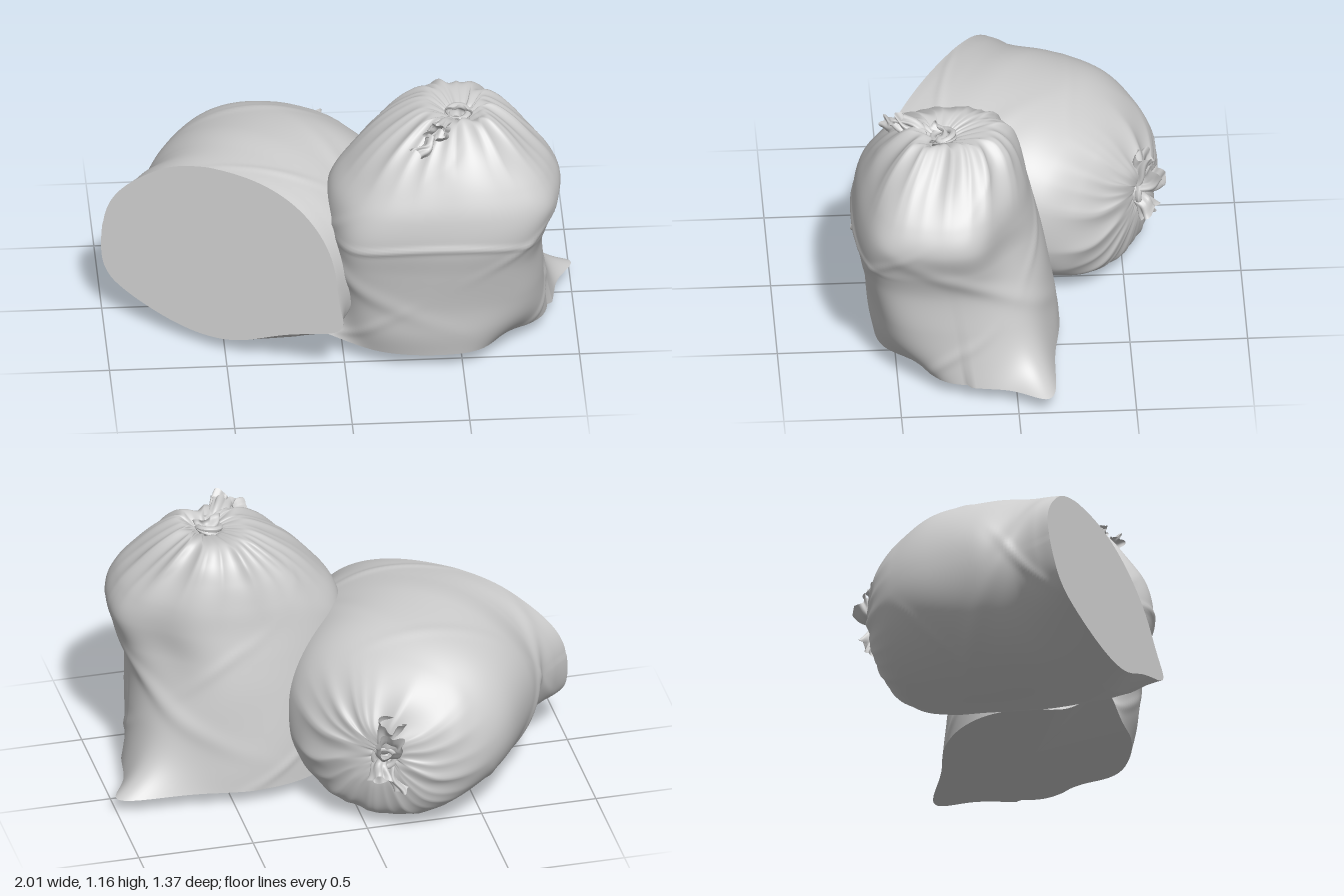
import * as THREE from 'three';

const material = new THREE.MeshStandardMaterial({ color: 0xcccccc, side: THREE.DoubleSide });
const SEG = 180, ROWS = 120;
const { sin, cos, abs, sign, PI, exp, max } = Math;
const ridge = (a) => 1 - 2 * abs(sin(a));
const bump = (x, width) => exp(-((x / width) ** 2));

function mesh(geometry, name) {
  geometry.computeVertexNormals();
  const m = new THREE.Mesh(geometry, material);
  m.name = name;
  return m;
}

// Cloth creases: pleats that gather toward the neck, plus slanted wrinkles on the body
function crease(t, a, w, seed) {
  const gather = THREE.MathUtils.smoothstep(t, 0.45, 0.88);
  const pleats = 0.6 * ridge(5.5 * a + 0.7 * sin(2 * a + seed)) +
    0.4 * ridge(9 * a + sin(3 * a) + seed);
  const slant = bump(sin(a + 4.2 * w + seed), 0.2) * (0.5 + 0.5 * sin(2 * a + seed)) +
    0.6 * bump(sin(1.5 * a - 5 * w + 2 * seed), 0.12) * (0.5 + 0.5 * cos(3 * a + 4 * w));
  const soft = sin(3 * a + 7 * w + seed) + 0.7 * sin(5 * a - 11 * w + 2 * seed);
  return 1 + gather * (0.035 + 0.14 * gather) * pleats +
    (1 - gather) * (0.024 * slant + 0.007 * soft);
}

// Loft a bag through sections [w, uMin, uMax, vMin, vMax]; adjust(p, a, t) shapes details
function bag(sections, seed, roundness, adjust) {
  const curve = (f) => new THREE.CatmullRomCurve3(sections.map(f), false, 'catmullrom', 0.5);
  const mid = curve(([w, a, b, c, d]) => new THREE.Vector3((a + b) / 2, (c + d) / 2, w));
  const rad = curve(([, a, b, c, d]) => new THREE.Vector3((b - a) / 2, (d - c) / 2, 0));
  const pos = [], index = [], base = [0, 0, 0], baseIndex = [];
  const p = new THREE.Vector3();
  for (let j = 0; j <= ROWS; j++) {
    const t = j / ROWS, m = mid.getPoint(t), r = rad.getPoint(t);
    for (let i = 0; i < SEG; i++) {
      const a = (i / SEG) * PI * 2, k = crease(t, a, m.z, seed);
      p.set(
        m.x + r.x * k * sign(cos(a)) * abs(cos(a)) ** roundness,
        m.y + r.y * k * sign(sin(a)) * abs(sin(a)) ** roundness,
        m.z);
      adjust(p, a, t);
      pos.push(p.x, p.y, p.z);
      if (j === 0) {
        base.push(p.x, p.y, p.z);
        for (let n = 0; n < 3; n++) base[n] += p.getComponent(n) / SEG;
        baseIndex.push(0, 1 + (i + 1) % SEG, 1 + i);
      }
      if (j < ROWS) {
        const q = j * SEG + i, s = j * SEG + (i + 1) % SEG;
        index.push(q, s, q + SEG, s, s + SEG, q + SEG);
      }
    }
  }
  const build = (array, idx) => {
    const g = new THREE.BufferGeometry();
    g.setAttribute('position', new THREE.Float32BufferAttribute(array, 3));
    g.setIndex(idx);
    return g;
  };
  const group = new THREE.Group();
  group.add(mesh(build(pos, index), 'bagSkin'), mesh(build(base, baseIndex), 'bagBase'));
  return group;
}

// Crumpled open tail of cloth, growing from one point to another
function tail(from, to, r0, r1, seed) {
  const a = new THREE.Vector3(...from), dir = new THREE.Vector3(...to).sub(a);
  const g = new THREE.CylinderGeometry(1, 1, 1, 60, 10, true);
  const p = g.attributes.position;
  for (let i = 0; i < p.count; i++) {
    const t = p.getY(i) + 0.5, ang = Math.atan2(p.getZ(i), p.getX(i));
    const r = (r0 + (r1 - r0) * t ** 1.3) * (1 + 0.2 * t * sin(5 * ang + seed) + 0.12 * sin(3 * ang + 5 * t));
    p.setXYZ(i, r * cos(ang), dir.length() * t * (1 + 0.08 * sin(3 * ang + seed)), 0.7 * r * sin(ang) + 0.012 * sin(6 * t + seed));
  }
  const m = mesh(g, 'clothTail');
  m.position.copy(a);
  m.quaternion.setFromUnitVectors(new THREE.Vector3(0, 1, 0), dir.normalize());
  return m;
}

// Wound tie around the gathered neck
function tie(center, axis, r) {
  const pts = [];
  for (let i = 0; i < 20; i++) {
    const a = (i / 20) * PI * 4;
    pts.push(new THREE.Vector3(r * cos(a), r * sin(a), 0.012 * sin(a / 2)));
  }
  const m = mesh(new THREE.TubeGeometry(new THREE.CatmullRomCurve3(pts, true), 80, 0.014, 8, true), 'neckTie');
  m.position.set(...center);
  m.quaternion.setFromUnitVectors(new THREE.Vector3(0, 0, 1), new THREE.Vector3(...axis).normalize());
  return m;
}

function uprightBag() {
  const group = new THREE.Group();
  group.name = 'uprightBag';
  // u = +x, v = -z, w = +y
  const body = bag([
    [0.075, -0.03, 0.88, -0.59, 0.2],
    [0.18, -0.035, 0.87, -0.61, 0.19],
    [0.32, -0.04, 0.86, -0.62, 0.17],
    [0.5, -0.05, 0.855, -0.65, 0.14],
    [0.64, -0.065, 0.895, -0.675, 0.11],
    [0.77, -0.045, 0.935, -0.66, 0.08],
    [0.88, 0.03, 0.89, -0.62, 0.06],
    [0.99, 0.13, 0.79, -0.56, 0.03],
    [1.075, 0.24, 0.7, -0.49, -0.01],
    [1.125, 0.34, 0.62, -0.42, -0.08],
    [1.11, 0.42, 0.57, -0.36, -0.2],
    [1.08, 0.46, 0.53, -0.33, -0.26],
  ], 0.6, 0.9, (p, a) => {
    // Pinched base corners
    const low = max(0, p.z - 0.075);
    const right = bump(a - 0.75, 0.28) * exp(-low / 0.09);
    const left = bump(a - PI - 0.45, 0.25) * exp(-low / 0.06);
    const spread = bump(a - 0.5, 0.5) * exp(-low / 0.2);
    p.x += 0.18 * right - 0.14 * left + 0.055 * spread;
    p.y += 0.06 * right;
    p.z += 0.05 * left;
    // Fuller front corners, a flatter back right shoulder and a fold across the front
    const shoulder = bump(p.z - 0.72, 0.2);
    const backRight = 0.04 * bump(a - 0.75, 0.4) * shoulder;
    const frontLeft = 0.035 * bump(a - 1.25 * PI, 0.4) * bump(p.z - 0.5, 0.4);
    const frontRight = bump(a - 1.75 * PI, 0.4) * (0.03 - 0.09 * exp(-low / 0.13));
    p.x += frontRight - frontLeft - backRight;
    p.y -= frontRight + frontLeft + backRight;
    p.y -= 0.01 * bump(p.z - 0.63 - 0.02 * sin(3 * a), 0.014) * max(0, -sin(a + 0.3));
  });
  body.rotation.x = -PI / 2;
  group.add(
    body,
    tie([0.495, 1.095, 0.295], [-0.2, 1, 0.2], 0.045),
    tail([0.49, 1.07, 0.31], [0.39, 1.12, 0.47], 0.03, 0.045, 1),
    tail([0.49, 1.07, 0.3], [0.5, 1.13, 0.33], 0.035, 0.055, 2.5),
    tail([0.46, 1.07, 0.36], [0.39, 1.12, 0.49], 0.03, 0.045, 4),
    tail([0.38, 1.08, 0.46], [0.31, 1.03, 0.52], 0.03, 0.045, 5),
  );
  return group;
}

function lyingBag() {
  const group = new THREE.Group();
  group.name = 'lyingBag';
  // u = across, v = up, w = from base to neck
  const body = bag([
    [0, -0.535, 0.596, 0.06, 0.81],
    [0.08, -0.535, 0.57, 0.04, 0.82],
    [0.2, -0.54, 0.545, 0.015, 0.83],
    [0.38, -0.52, 0.575, 0.0, 0.84],
    [0.62, -0.46, 0.57, 0.01, 0.82],
    [0.78, -0.4, 0.52, 0.02, 0.75],
    [0.89, -0.3, 0.44, 0.04, 0.67],
    [0.96, -0.19, 0.34, 0.1, 0.59],
    [1.0, -0.07, 0.24, 0.23, 0.52],
    [1.0, 0.05, 0.18, 0.33, 0.45],
    [0.97, 0.09, 0.15, 0.36, 0.42],
  ], 2.1, 0.96, (p, a, t) => {
    // Pinched inner base corner, with the base edge rising straight toward it
    const corner = max(0, 1 - t * 5);
    p.x -= 0.11 * bump(a - PI - 0.55, 0.35) * corner;
    p.y += 0.05 * bump(a - PI - 0.95, 0.4) * max(0, 1 - t * 8);
    // Outer base rim: sloped at the top, fuller at the bottom
    p.x += (0.05 * bump(a - 2 * PI + 0.65, 0.35) - 0.035 * bump(a - 0.75, 0.4)) * corner;
    // Base leans back toward its top
    p.z += (0.19 * (p.y - 0.36)) * max(0, 1 - t * 3);
  });
  const across = new THREE.Vector3(-0.839, 0, -0.545);
  const along = new THREE.Vector3(0.545, 0, -0.839);
  new THREE.Matrix4().makeBasis(across, new THREE.Vector3(0, 1, 0), along)
    .decompose(new THREE.Vector3(), body.quaternion, new THREE.Vector3());
  body.position.set(-0.5, 0, 0.33);
  group.add(
    body,
    tie([-0.06, 0.39, -0.57], [0.4, 0, -1], 0.045),
    tail([-0.06, 0.39, -0.54], [-0.06, 0.48, -0.66], 0.035, 0.06, 1),
    tail([-0.06, 0.4, -0.54], [-0.08, 0.56, -0.6], 0.03, 0.055, 3),
    tail([-0.05, 0.39, -0.55], [-0.02, 0.31, -0.62], 0.03, 0.05, 5),
    tail([-0.08, 0.36, -0.56], [-0.12, 0.23, -0.6], 0.03, 0.045, 2),
  );
  return group;
}

export function createModel() {
  const model = new THREE.Group();
  model.name = 'tiedBags';
  model.add(uprightBag(), lyingBag());
  return model;
}
